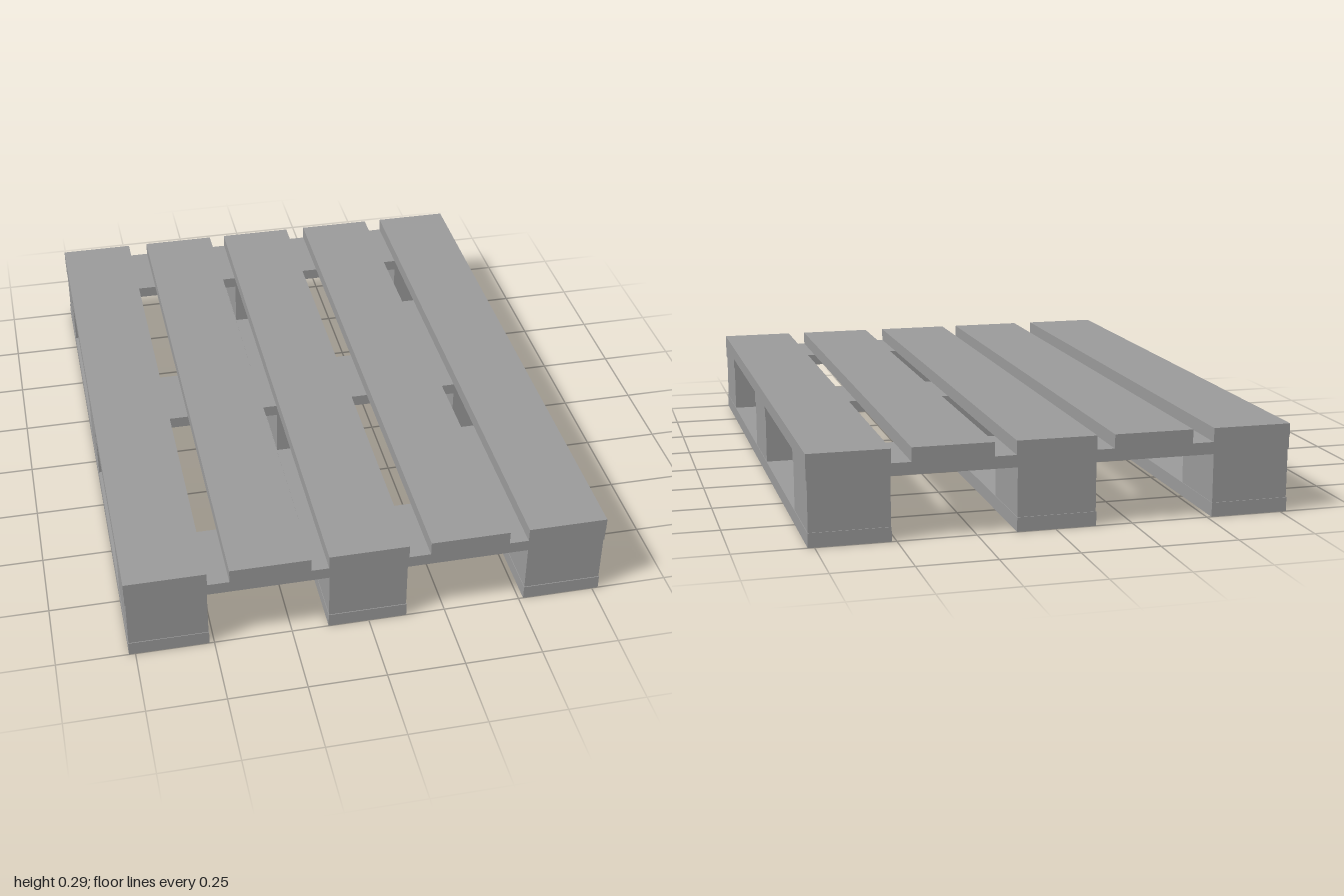
import * as THREE from 'three';

export function createModel() {
  const pallet = new THREE.Group();
  pallet.name = 'pallet';
  const material = new THREE.MeshStandardMaterial({ color: 0x9a9a9a });

  const BOARD = 0.257; // board width
  const BLOCK = 0.252; // blocks sit slightly inside the boards
  const rowsX = [-0.643, -0.004, 0.643];
  const rowsZ = [-0.8715, -0.002, 0.8715];

  // Box of size w x d, spanning y0 to y1, centred on (x, z)
  function addBox(name, w, d, y0, y1, x, z) {
    const mesh = new THREE.Mesh(new THREE.BoxGeometry(w, y1 - y0, d), material);
    mesh.name = name;
    mesh.position.set(x, (y0 + y1) / 2, z);
    pallet.add(mesh);
  }

  // Deck boards along the length
  for (const x of [-0.644, -0.317, -0.003, 0.324, 0.644]) {
    addBox('deckBoard', BOARD, 2, 0.243, 0.288, x, 0);
  }

  // Cross boards under the deck
  for (const z of rowsZ) addBox('crossBoard', 1.543, 0.255, 0.204, 0.243, 0, z);

  // Bottom boards on the ground, each carrying three spacer blocks
  for (const x of rowsX) {
    addBox('bottomBoard', 0.255, 2, 0, 0.046, x, 0);
    for (const z of rowsZ) addBox('spacerBlock', BLOCK, BLOCK, 0.046, 0.204, x, z);
  }

  return pallet;
}
